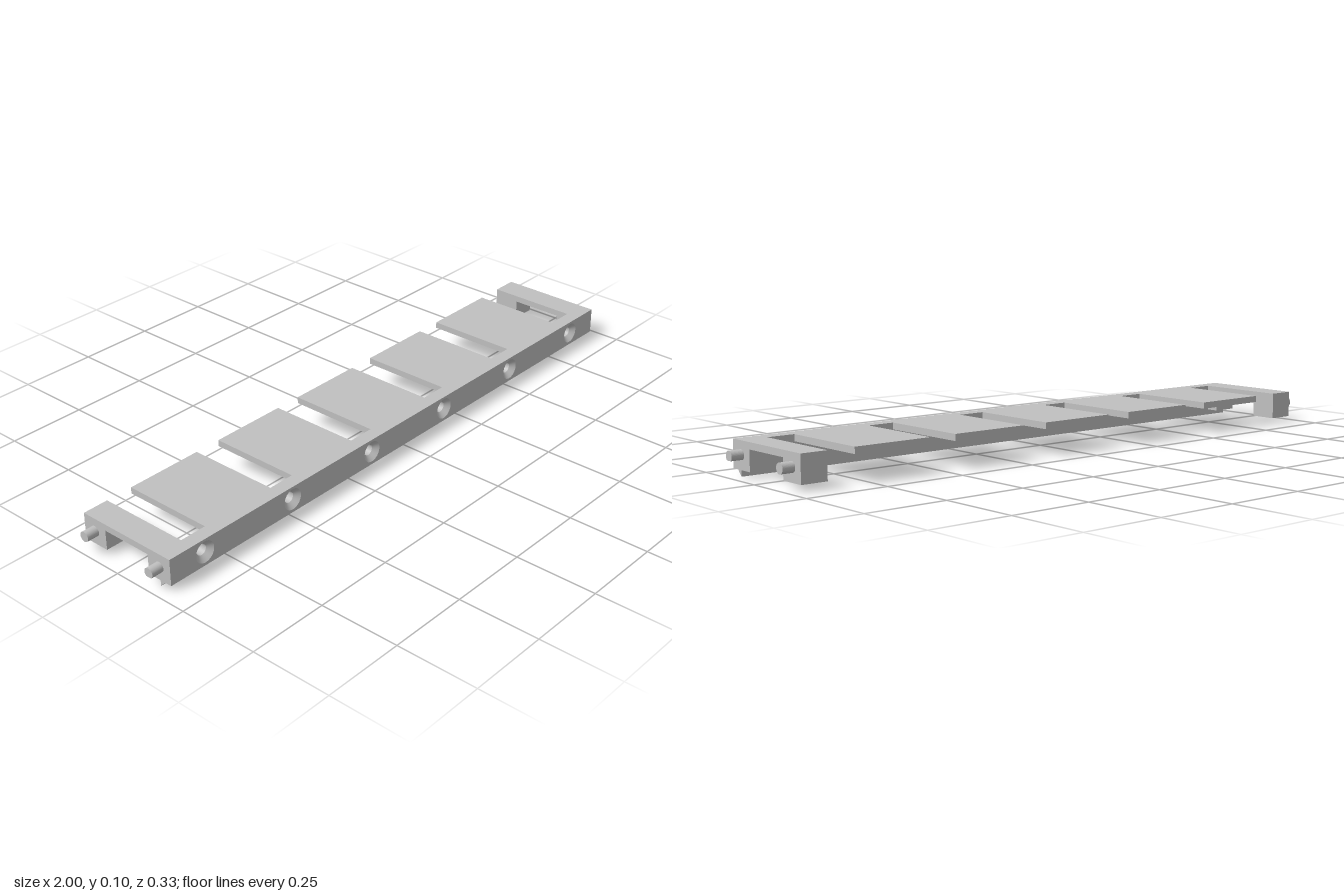
import * as THREE from 'three';

const END = 0.962, FRONT = 0.167, WEB = 0.124, SEAT = 0.152;
const BASE = 0.018, TOP = 0.1, UNDER = 0.08, AXIS = 0.06, PITCH = 0.335;
const HOLE = 0.017, SINK = 0.033, SLOT = 0.086;

export function createModel() {
  const group = new THREE.Group();
  const grey = new THREE.MeshStandardMaterial({ color: 0xc0c0c0 });
  grey.name = 'light grey';

  const add = (name, geometry) => {
    const mesh = new THREE.Mesh(geometry, grey);
    mesh.name = name;
    group.add(mesh);
  };

  // Extrude a (z, y) profile along x between x0 and x1
  const alongX = (shape, x0, x1) =>
    new THREE.ExtrudeGeometry(shape, { depth: x1 - x0, bevelEnabled: false, curveSegments: 24 })
      .rotateY(-Math.PI / 2).translate(x1, 0, 0);
  const polygon = (pts) => new THREE.Shape(pts.map(([a, b]) => new THREE.Vector2(a, b)));

  const holeXs = [-2.5, -1.5, -0.5, 0.5, 1.5, 2.5].map((i) => i * PITCH);

  // Front rail in two layers: narrow bores behind, wide countersinks in front
  const railLayer = (radius, z0, z1) => {
    const shape = polygon([[-END, BASE], [END, BASE], [END, TOP], [-END, TOP]]);
    for (const x of holeXs) {
      const hole = new THREE.Path();
      hole.absarc(x, AXIS, radius, 0, Math.PI * 2, true);
      shape.holes.push(hole);
    }
    return new THREE.ExtrudeGeometry(shape, { depth: z1 - z0, bevelEnabled: false, curveSegments: 16 })
      .translate(0, 0, z0);
  };
  add('railBack', railLayer(HOLE, WEB, SEAT));
  add('railFront', railLayer(SINK, SEAT, FRONT));

  // Conical countersinks
  for (const x of holeXs) {
    const profile = [new THREE.Vector2(SINK, FRONT), new THREE.Vector2(HOLE, SEAT)];
    add('countersink', new THREE.LatheGeometry(profile, 32).rotateX(Math.PI / 2).translate(x, AXIS, 0));
  }

  // Triangular lip under the rail
  add('lip', alongX(polygon([[0.127, 0], [0.144, BASE], [0.127, BASE]]), -END, END));

  // Flat plates between the slots
  for (let i = -2; i <= 2; i++) {
    add('plate', new THREE.BoxGeometry(PITCH - SLOT, TOP - UNDER, FRONT + WEB)
      .translate(i * PITCH, (TOP + UNDER) / 2, (WEB - FRONT) / 2));
  }

  // End arms with a foot at each end, and the pins on their outer faces
  const arm = polygon([
    [-FRONT, BASE], [-0.083, BASE], [-0.083, UNDER], [0.083, UNDER],
    [0.083, BASE], [WEB, BASE], [WEB, TOP], [-FRONT, TOP],
  ]);
  const R = 0.0155;
  const flat = Math.asin(0.0125 / R);
  const flatPin = new THREE.Shape();
  flatPin.absarc(0.126, AXIS, R, -flat, Math.PI + flat, false);
  flatPin.closePath();
  const roundPin = new THREE.Shape();
  roundPin.absarc(-0.126, AXIS, R, 0, Math.PI * 2, false);

  const inner = 2.5 * PITCH + SLOT / 2;
  for (const side of [-1, 1]) {
    const span = (a, b) => (side > 0 ? [a, b] : [-b, -a]);
    add('endArm', alongX(arm, ...span(inner, END)));
    add('flattedPin', alongX(flatPin, ...span(END, 1)));
    add('roundPin', alongX(roundPin, ...span(END, 1)));
  }
  return group;
}
